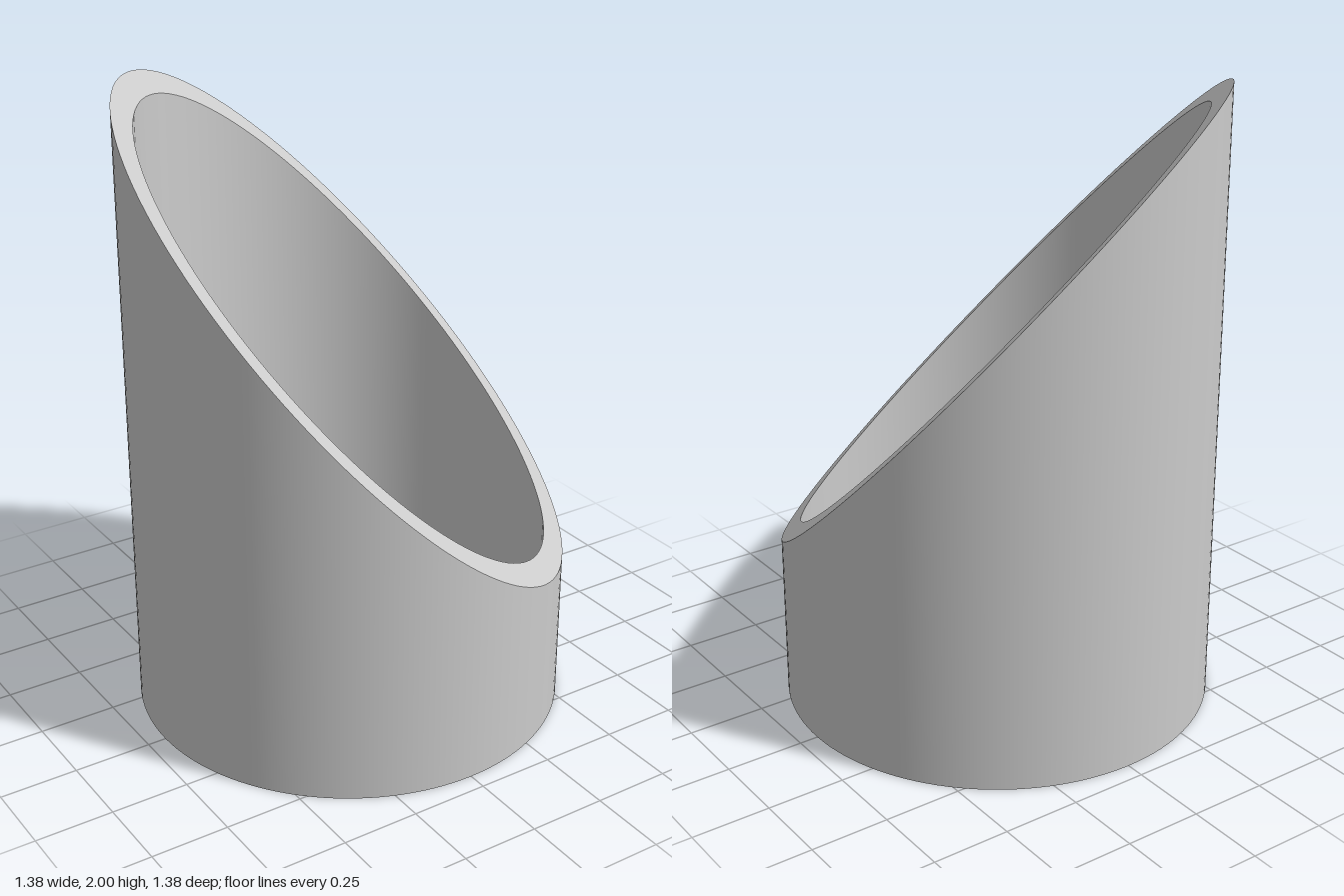
import * as THREE from 'three';
import { mergeGeometries } from 'three/addons/utils/BufferGeometryUtils.js';

const OUTER = 0.69, INNER = 0.627, SEGMENTS = 128;

// Height of the slanted cut: highest at back right, lowest at front left
const MID = 1.25, SLOPE = 0.75 / OUTER / Math.SQRT2;
const cutHeight = (x, z) => MID - SLOPE * (x + z);

// One revolved strip; points at height 1 are moved onto the cutting plane
function strip(from, to) {
  const geometry = new THREE.LatheGeometry(
    [new THREE.Vector2(...from), new THREE.Vector2(...to)], SEGMENTS);
  const p = geometry.attributes.position;
  for (let i = 0; i < p.count; i++) {
    if (p.getY(i) > 0.5) p.setY(i, cutHeight(p.getX(i), p.getZ(i)));
  }
  return geometry;
}

export function createModel() {
  const group = new THREE.Group();
  group.name = 'slantCutPipe';

  // Closed ring profile: outer wall, slanted rim, inner wall, base
  const outerWall = strip([OUTER, 0], [OUTER, 1]);
  const rim = strip([OUTER, 1], [INNER, 1]);
  const innerWall = strip([INNER, 1], [INNER, 0]);
  const base = strip([INNER, 0], [OUTER, 0]);
  rim.computeVertexNormals();

  const pipe = new THREE.Mesh(
    mergeGeometries([outerWall, rim, innerWall, base]),
    new THREE.MeshStandardMaterial({ color: 0xcccccc }));
  pipe.name = 'pipe';
  group.add(pipe);
  return group;
}
